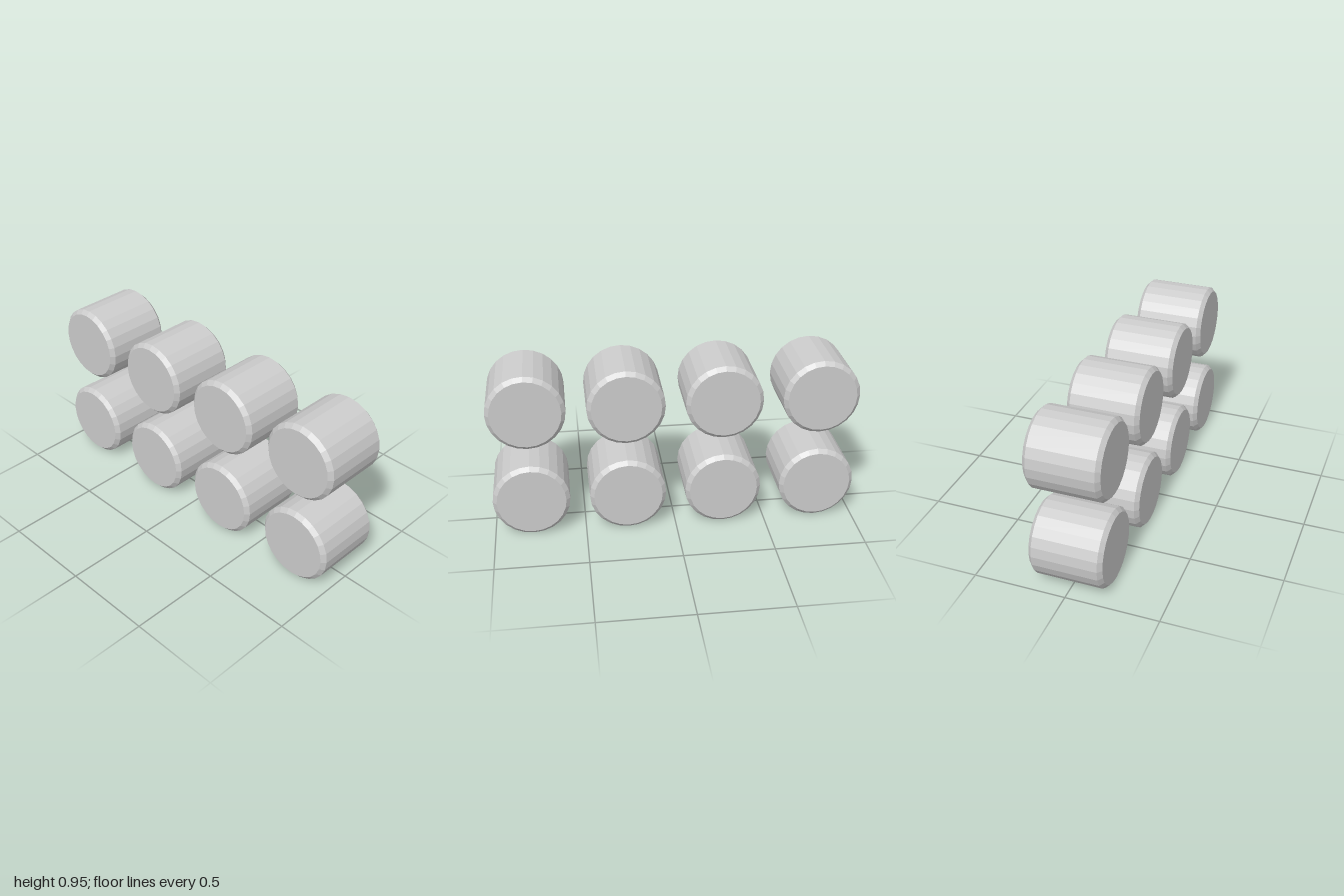
import * as THREE from 'three';

const RADIUS = 0.21;
const HALF_DEPTH = 0.197;
const BEVEL = 0.022;
const SPACING = 0.527;
const COLUMNS = 4;
const ROWS = 2;

// Faceted drum with bevelled rims, its axis along z
function drumGeometry() {
  const profile = [
    [0, -HALF_DEPTH],
    [RADIUS - BEVEL, -HALF_DEPTH],
    [RADIUS, -HALF_DEPTH + BEVEL],
    [RADIUS, HALF_DEPTH - BEVEL],
    [RADIUS - BEVEL, HALF_DEPTH],
    [0, HALF_DEPTH],
  ].map(([r, y]) => new THREE.Vector2(r, y));
  return new THREE.LatheGeometry(profile, 24).rotateX(Math.PI / 2);
}

export function createModel() {
  const model = new THREE.Group();
  model.name = 'bevelledCylinderGrid';
  const material = new THREE.MeshStandardMaterial({ color: 0xcccccc, flatShading: true });
  const geometry = drumGeometry();

  // Two rows of four, lowest row resting on the ground
  for (let row = 0; row < ROWS; row++) {
    for (let column = 0; column < COLUMNS; column++) {
      const cylinder = new THREE.Mesh(geometry, material);
      cylinder.name = `cylinderRow${row + 1}Column${column + 1}`;
      cylinder.position.set((column - (COLUMNS - 1) / 2) * SPACING, RADIUS + row * SPACING, 0);
      model.add(cylinder);
    }
  }
  return model;
}
